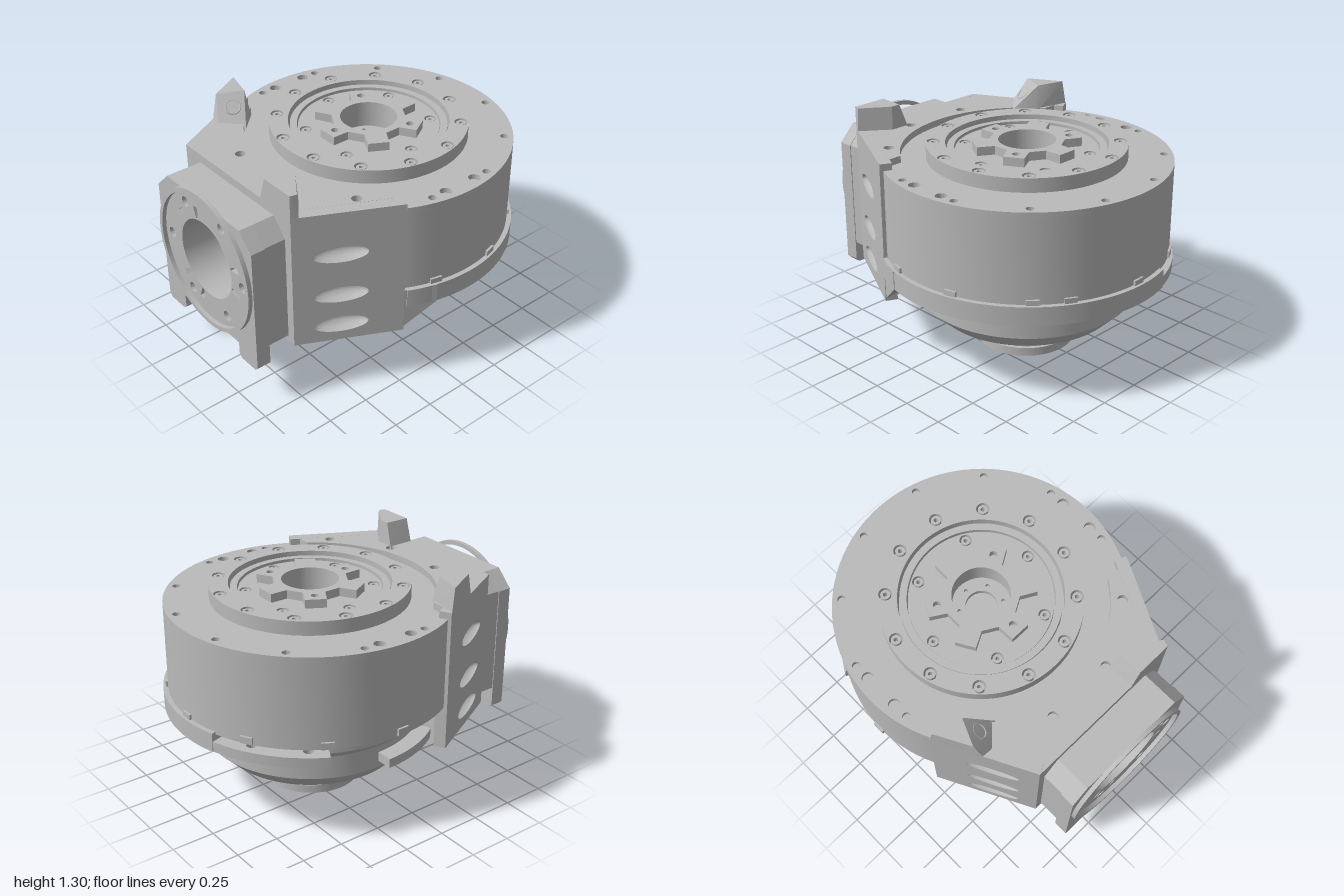
import * as THREE from 'three';
import { toCreasedNormals } from 'three/addons/utils/BufferGeometryUtils.js';
import { ConvexGeometry } from 'three/addons/geometries/ConvexGeometry.js';

const CX = -0.013, CZ = -0.16, FY = 0.755; // drum axis, height of the front bore
const rad = THREE.MathUtils.degToRad;

export function createModel() {
  const model = new THREE.Group();
  const metal = new THREE.MeshStandardMaterial({ color: 0xbababa, side: THREE.DoubleSide });
  metal.name = 'grey metal';

  const add = (name, geo, parent = model) => {
    const mesh = new THREE.Mesh(toCreasedNormals(geo, 0.55), metal);
    mesh.name = name;
    parent.add(mesh);
    return mesh;
  };

  // Shape helpers
  const poly = (pts) => new THREE.Shape(pts.map(([x, y]) => new THREE.Vector2(x, y)));
  const circle = (x, y, r) => new THREE.Path().absarc(x, y, r, 0, Math.PI * 2);
  const polar = (r, deg) => [r * Math.cos(rad(deg)), r * Math.sin(rad(deg))];
  const disc = (r, holes = []) => {
    const s = new THREE.Shape().absarc(0, 0, r, 0, Math.PI * 2);
    s.holes.push(...holes);
    return s;
  };
  const ringHoles = (r, degs, size) => degs.map((d) => circle(...polar(r, d), size));
  const steps = (n, start = 0) => Array.from({ length: n }, (_, i) => start + (i * 360) / n);
  const extrude = (shape, depth, seg = 48) =>
    new THREE.ExtrudeGeometry(shape, { depth, bevelEnabled: false, curveSegments: seg });
  // Plan shapes are drawn with y = -z and raised from y0 to y1
  const plan = (name, shape, y0, y1, x = 0, z = 0) =>
    add(name, extrude(shape, y1 - y0).rotateX(-Math.PI / 2).translate(x, y0, z));
  const onAxis = (name, shape, y0, y1) => plan(name, shape, y0, y1, CX, CZ);
  const sector = (r0, r1, a0, a1, holes = []) => {
    const s = new THREE.Shape();
    s.absarc(0, 0, r1, rad(a0), rad(a1), false);
    s.absarc(0, 0, r0, rad(a1), rad(a0), true);
    s.holes.push(...holes);
    return s;
  };
  const cylinder = (name, r, y0, y1, x, z, seg = 20) =>
    add(name, new THREE.CylinderGeometry(r, r, y1 - y0, seg).translate(x, (y0 + y1) / 2, z));

  // Drum with stepped cone and neck below
  const profile = [[0, 0.5], [0.155, 0.5], [0.155, 0.04], [0.265, 0.04], [0.265, 0.155], [0.305, 0.155],
    [0.315, 0.205], [0.525, 0.205], [0.625, 0.305], [0.625, 0.44], [0.7, 0.505], [0.7, 0.6],
    [0.818, 0.6], [0.818, 1.1], [0.17, 1.1], [0.17, 1.0], [0, 1.0]];
  add('drum', new THREE.LatheGeometry(profile.map(([r, y]) => new THREE.Vector2(r, y)), 96).translate(CX, 0, CZ));
  onAxis('outputFlange', disc(0.286, [circle(0, 0, 0.155), ...ringHoles(0.215, steps(6), 0.023)]), 0, 0.05);

  // Drum lid with bolt holes
  const lidHoles = [
    ...ringHoles(0.767, [15, -15, 45, 75, 105, 135, 165, 195], 0.023),
    ...ringHoles(0.75, [8, -8, 172, 188], 0.033),
  ];
  onAxis('drumLid', disc(0.818, [circle(0, 0, 0.5), ...lidHoles]), 1.1, 1.13);

  // Raised cover ring, inner disc and hub floor
  onAxis('coverRing', disc(0.563, [circle(0, 0, 0.455), ...ringHoles(0.52, steps(12, 15), 0.037)]), 1.1, 1.21);
  onAxis('innerRing', disc(0.445, [circle(0, 0, 0.405)]), 1.1, 1.185);
  onAxis('innerDisc', disc(0.4, [circle(0, 0, 0.161), ...ringHoles(0.358, steps(6), 0.034)]), 1.1, 1.17);
  onAxis('hubFloor', disc(0.17, [circle(0, 0, 0.09), ...ringHoles(0.125, steps(6, 30), 0.012)]), 1.03, 1.06);

  const bolts = (name, r, degs, size, y) => degs.forEach((d) => {
    const [x, z] = polar(r, d);
    const head = disc(size, [circle(0, 0, size * 0.45)]);
    plan(name, head, y - 0.05, y, CX + x, CZ + z);
  });
  bolts('coverBolt', 0.52, steps(12, 15), 0.027, 1.205);
  bolts('discBolt', 0.358, steps(6), 0.025, 1.165);

  // Six-armed spider
  const star = [];
  for (const a of steps(6, 30)) {
    for (const [r, d] of [[0.21, -17], [0.307, -11], [0.307, 11], [0.21, 17]]) star.push(polar(r, a + d));
  }
  const spider = poly(star);
  spider.holes.push(circle(0, 0, 0.161), ...ringHoles(0.245, [30, 150, 270], 0.022));
  onAxis('spider', spider, 1.165, 1.22);

  // Lower flange around the drum, with a stepped-down end
  onAxis('lowerFlange', sector(0.64, 0.845, -26, 106,
    ringHoles(0.765, [-5, 20, 45, 70, 95], 0.03)), 0.505, 0.615);
  onAxis('lowerFlangeStep', sector(0.64, 0.84, 106, 151, ringHoles(0.765, [120, 143], 0.03)), 0.505, 0.565);
  onAxis('sideBracket', sector(0.56, 0.72, 180, 215), 0.345, 0.4);
  for (const a of [-14, 15, 46, 60, 90, 120, 150, 180]) {
    const [x, z] = polar(0.815, a);
    const tab = add('flangeTab', new THREE.BoxGeometry(0.03, 0.04, 0.07));
    tab.position.set(CX + x, 0.625, CZ - z);
    tab.rotation.y = rad(a);
  }

  // Front housing core, underside plate with pocket, and top plate
  const core = [[-0.675, -0.24], [-0.417, -0.729], [-0.48, -0.76], [0.46, -0.76], [0.397, -0.729], [0.645, -0.24]];
  plan('housingCore', poly(core), 0.46, 1.13);
  const under = poly(core);
  under.holes.push(
    new THREE.Path([[-0.28, -0.68], [0.26, -0.68], [0.38, -0.45], [0.3, -0.36], [-0.33, -0.36], [-0.41, -0.45]]
      .map(([x, y]) => new THREE.Vector2(x, y))),
    circle(0.5, -0.36, 0.03), circle(0.39, -0.6, 0.03), circle(-0.53, -0.36, 0.03), circle(-0.42, -0.6, 0.03));
  plan('housingUnderside', under, 0.345, 0.46);
  const arc = [];
  for (let i = 0; i <= 24; i++) {
    const [x, y] = polar(0.705, -34.6 - (i * 110.8) / 24);
    arc.push([CX + x, -CZ + y]);
  }
  const top = poly([...core, ...arc]);
  top.holes.push(circle(0.53, -0.385, 0.029), circle(0.19, -0.587, 0.029), circle(-0.21, -0.587, 0.029));
  plan('housingTop', top, 1.13, 1.17);

  // Slanted side walls with three scooped grips each
  const sideWall = (name, ax, az, bx, bz) => {
    const wall = new THREE.Group();
    wall.name = name;
    const len = Math.hypot(bx - ax, bz - az);
    wall.position.set(ax, 0, az);
    wall.rotation.y = Math.atan2(az - bz, bx - ax);
    model.add(wall);
    const mid = (len * (0.53 - az)) / (bz - az);
    const s = poly([[0, 0.345], [len, 0.345], [len, 1.17], [0, 1.17]]);
    for (const y of [0.45, 0.65, 0.91]) {
      s.holes.push(new THREE.Path().absellipse(mid, y, 0.15, 0.05, 0, Math.PI * 2));
      add('gripScoop', new THREE.SphereGeometry(1, 48, 10, 0, Math.PI * 2, Math.PI / 2, Math.PI / 2)
        .rotateX(Math.PI / 2).scale(0.15, 0.05, 0.065).translate(mid, y, 0), wall);
    }
    add('wallPanel', extrude(s, 0.07, 24).translate(0, 0, -0.07), wall);
  };
  sideWall('rightWall', -0.76, 0.22, -0.48, 0.76);
  sideWall('leftWall', 0.46, 0.76, 0.735, 0.22);

  const hull = (name, pts) => add(name, new ConvexGeometry(pts.map((p) => new THREE.Vector3(...p))));
  // Wedge that blends the housing into the flange
  hull('flangeWedge', [[0.4, 0.345, 0.26], [0.72, 0.345, 0.24], [0.4, 0.505, 0.04], [0.81, 0.505, 0.05],
    [0.4, 0.615, 0.04], [0.81, 0.615, 0.05], [0.4, 0.615, 0.26], [0.735, 0.615, 0.22]]);

  // Two lugs on top of the housing
  hull('drilledLug', [[-0.75, 1.305, 0.245], [-0.58, 1.305, 0.29], [-0.645, 1.305, 0.44],
    [-0.76, 1.15, 0.22], [-0.55, 1.15, 0.27], [-0.44, 1.15, 0.385], [-0.55, 1.15, 0.495], [-0.62, 1.15, 0.49]]);
  const lugBore = add('lugBore', new THREE.TorusGeometry(0.042, 0.006, 8, 28));
  lugBore.position.set(-0.555, 1.242, 0.39);
  lugBore.lookAt(-0.555 + 0.6, 1.242 + 0.75, 0.39 + 0.28);
  hull('frontLug', [[0.255, 1.305, 0.61], [0.25, 1.305, 0.76], [0.47, 1.305, 0.72], [0.46, 1.305, 0.76],
    [0.31, 1.305, 0.61], [0.2, 1.15, 0.6], [0.2, 1.15, 0.76], [0.48, 1.15, 0.72], [0.46, 1.15, 0.76], [0.32, 1.15, 0.6]]);

  // Front port: neck, footed face plate and rim
  const neck = poly([[-0.44, 0.385], [0.41, 0.385], [0.41, 1.02], [0.32, 1.12], [-0.345, 1.12], [-0.44, 1.02]]);
  neck.holes.push(circle(CX, FY, 0.232));
  add('portNeck', extrude(neck, 0.14).translate(0, 0, 0.75));

  const face = poly([[-0.445, 0.27], [-0.425, 0.25], [-0.295, 0.25], [-0.275, 0.27], [-0.275, 0.35],
    [0.25, 0.35], [0.25, 0.27], [0.27, 0.25], [0.395, 0.25], [0.415, 0.27], [0.415, 1.02], [0.32, 1.12],
    [-0.345, 1.12], [-0.445, 1.02]]);
  face.holes.push(circle(CX, FY, 0.232));
  for (const a of steps(6)) {
    const [x, y] = polar(0.33, a);
    face.holes.push(circle(CX + x, FY + y, 0.03));
  }
  for (const a of [0, 120, 240]) {
    for (const side of [-1, 1]) {
      const corners = [[0.24, 14], [0.31, 13], [0.31, 20], [0.24, 18]];
      face.holes.push(new THREE.Path(corners.map(([r, d]) => {
        const [x, y] = polar(r, a + side * d);
        return new THREE.Vector2(CX + x, FY + y);
      })));
    }
  }
  add('portFace', extrude(face, 0.085).translate(0, 0, 0.89));
  add('portRim', extrude(disc(0.418, [circle(0, 0, 0.393)]), 0.025).translate(CX, FY, 0.975));

  return model;
}
